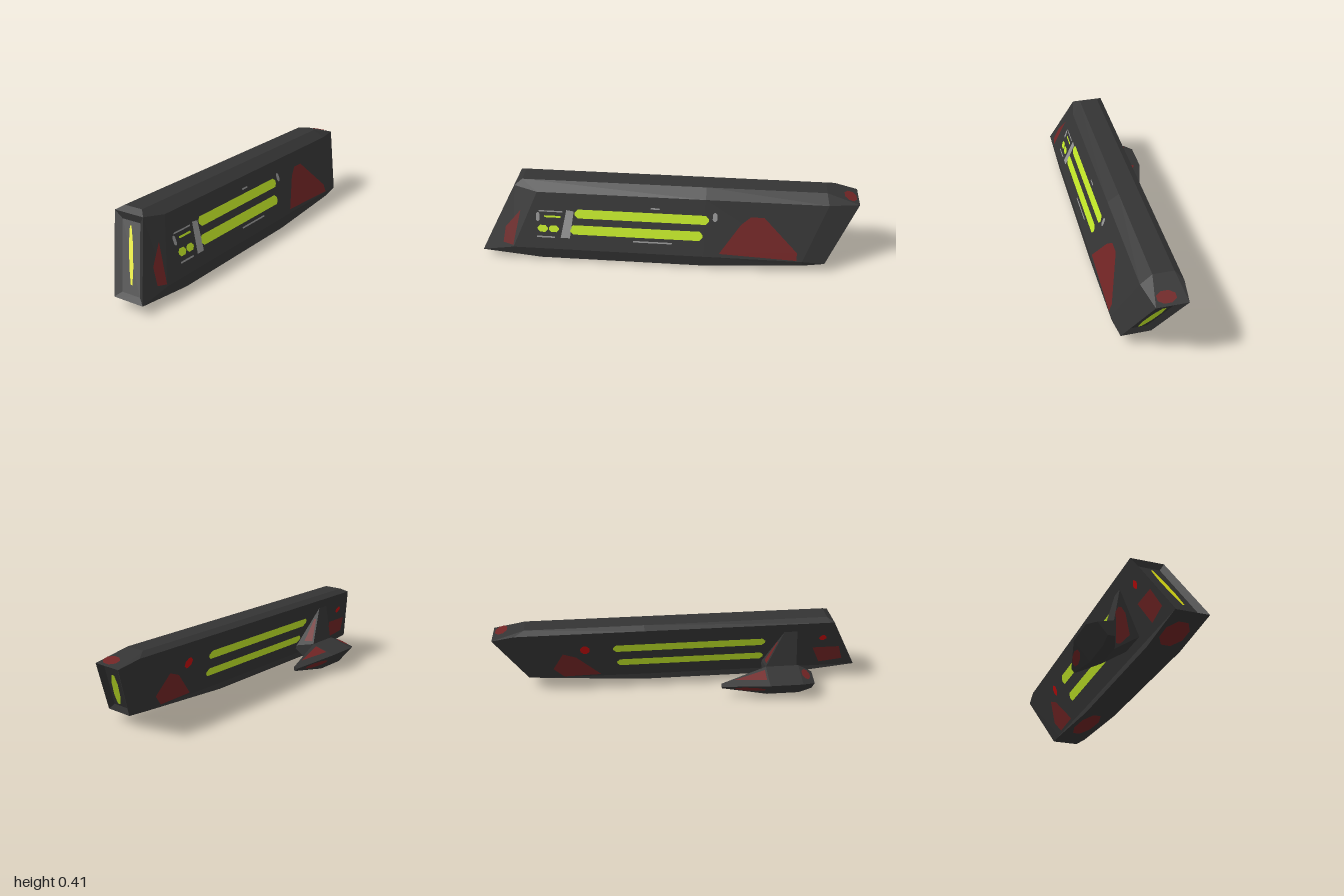
import * as THREE from 'three';

const flat = (name, color) => {
  const m = new THREE.MeshStandardMaterial({ color });
  m.name = name;
  return m;
};

// Turn a list of triangles into a named, flat-shaded mesh
function facets(name, triangles, material) {
  const g = new THREE.BufferGeometry().setFromPoints(triangles.flat());
  g.computeVertexNormals();
  const mesh = new THREE.Mesh(g, material);
  mesh.name = name;
  return mesh;
}

const vec = (x, y, z) => new THREE.Vector3(x, y, z);
const cross = (a, b, c) => b.clone().sub(a).cross(c.clone().sub(a));

// Join cross-section rings (clockwise seen from +z, ordered front to back)
function loft(name, rings, material) {
  const tris = [];
  const n = rings[0].length, first = rings[0], last = rings[rings.length - 1];
  for (let i = 0; i < rings.length - 1; i++) {
    for (let j = 0; j < n; j++) {
      const k = (j + 1) % n, r = rings[i], s = rings[i + 1];
      tris.push([r[j], r[k], s[k]], [r[j], s[k], s[j]]);
    }
  }
  for (let j = 1; j < n - 1; j++) {
    tris.push([first[0], first[j + 1], first[j]], [last[0], last[j], last[j + 1]]);
  }
  return facets(name, tris.filter((t) => cross(...t).length() > 1e-8), material);
}

// Painted patch on the plane through three points. Facing is '+x', '-y' and so on;
// outlines are (z,y) for x faces, (x,z) for y faces and (x,y) for z faces.
function paint(name, material, [p, q, r], facing, outline) {
  const normal = cross(p, q, r).normalize();
  const axis = facing[1];
  if (normal[axis] * (facing[0] === '+' ? 1 : -1) < 0) normal.negate();
  const [u, v] = { x: ['z', 'y'], y: ['x', 'z'], z: ['x', 'y'] }[axis];
  const pts = outline.map(([a, b]) => {
    const w = vec(0, 0, 0);
    w[u] = a;
    w[v] = b;
    w[axis] = p[axis] - (normal[u] * (a - p[u]) + normal[v] * (b - p[v])) / normal[axis];
    return w.addScaledVector(normal, 0.004);
  });
  const shape = outline.map(([a, b]) => new THREE.Vector2(a, b));
  const tris = THREE.ShapeUtils.triangulateShape(shape, []).map((f) => {
    const [a, b, c] = f.map((i) => pts[i]);
    return cross(a, b, c).dot(normal) > 0 ? [a, b, c] : [a, c, b];
  });
  return facets(name, tris, material);
}

// Bar outline with clipped corners
function bar(u0, u1, v, h) {
  const e = Math.min(h, u1 - u0) * 0.35, t = h / 2;
  return [[u0, v - t + e], [u0 + e, v - t], [u1 - e, v - t], [u1, v - t + e],
    [u1, v + t - e], [u1 - e, v + t], [u0 + e, v + t], [u0, v + t - e]];
}

// Faceted oval outline; its top is shifted sideways by lean
function oval(cu, cv, ru, rv, lean = 0) {
  return Array.from({ length: 8 }, (_, i) => {
    const a = (i + 0.5) * Math.PI / 4, s = Math.sin(a) * 1.08;
    return [cu + ru * 1.08 * Math.cos(a) + lean * s, cv + rv * s];
  });
}

// Inner panel of a four-cornered end: inset from the edges and sunk along depth
function recess(rim, inset, depth) {
  return rim.map((p, i) => {
    const step = (q) => q.clone().sub(p).setLength(inset);
    return p.clone().add(step(rim[(i + 1) % 4])).add(step(rim[(i + 3) % 4])).add(depth);
  });
}

export function createModel() {
  const hull = flat('hull grey', 0x343434);
  const red = flat('dull red', 0x702424);
  const bright = flat('bright red', 0xc00c0c);
  const lime = flat('lime', 0xc4ea28);
  const yellow = flat('yellow', 0xe4e614);
  const silver = flat('silver', 0x929292);
  const group = new THREE.Group();
  const mark = (...args) => group.add(paint(...args));

  // Leaning slab hull with recessed, slanted ends
  const section = [[-0.077, 0.385], [-0.045, 0.405], [0.06, 0.405], [0.12, 0.365],
    [0.23, 0.075], [0.225, 0.012], [0.056, 0.012], [0.056, 0.045]];
  const station = (zs) => section.map(([x, y], i) => vec(x, y, zs[i]));
  const endRim = (x0, x1, yTop, zTop, x2, x3, yLow, zLow) =>
    [vec(x0, yTop, zTop), vec(x1, yTop, zTop), vec(x3, yLow, zLow), vec(x2, yLow, zLow)];
  const ring8 = (corners) => corners.flatMap((p) => [p, p]);

  const frontRim = endRim(-0.077, 0.095, 0.385, 0.825, 0.056, 0.225, 0.045, 1);
  const backRim = endRim(-0.065, 0.09, 0.36, -1, 0.06, 0.21, 0.055, -0.84);
  const frontPanel = recess(frontRim, 0.032, vec(0, -0.009, -0.018));
  const backPanel = recess(backRim, 0.03, vec(0, 0.009, 0.018));
  const front = station([0.8, 0.79, 0.79, 0.7, 0.83, 0.68, 0.68, 0.8]);
  const middle = station(Array(8).fill(-0.2));
  const rear = station([-0.88, -0.83, -0.83, -0.84, -0.72, -0.72, -0.72, -0.72]);
  rear[5].y = rear[6].y = 0.047; // the keel rises towards the tail
  rear[7].y = 0.051;
  group.add(loft('hull', [ring8(frontPanel), ring8(frontRim), front, middle, rear,
    ring8(backRim), ring8(backPanel)], hull));

  // Outrigger pod: one section, shrunk towards both ends
  const podSection = [[-0.233, 0.1], [-0.09, 0.138], [-0.09, 0], [-0.15, 0]];
  const podRing = (z, s) => podSection.map(([x, y]) => vec(-0.15 + (x + 0.15) * s, 0.062 + (y - 0.062) * s, z));
  const [podNose, podFore, podAft, podTip] =
    [podRing(0.71, 0.6), podRing(0.64, 1), podRing(0.46, 1), podRing(0.21, 0.17)];
  group.add(loft('pod', [podNose, podFore, podAft, podTip], hull));

  // Pylon between pod and hull, narrower at its top
  const pylonRing = (z, zTop) => [vec(-0.09, 0.138, z), vec(-0.055, 0.33, zTop), vec(0.06, 0.098, z), vec(-0.09, 0, z)];
  const pylonFront = pylonRing(0.63, 0.63), pylonBack = pylonRing(0.46, 0.56);
  group.add(loft('pylon', [pylonFront, pylonBack], hull));

  // Light strips in the two ends, leaning with the hull
  mark('frontLight', yellow, frontPanel, '+z', oval(0.074, 0.215, 0.012, 0.115, -0.048));
  mark('backLight', lime, backPanel, '-z', oval(0.077, 0.205, 0.022, 0.098, -0.044));

  // Side markings: z start, z end, height, thickness
  const right = [front[3], front[4], rear[4]];
  const left = [front[0], middle[0], middle[7]];
  const bars = (name, material, side, facing, list) =>
    list.forEach((b) => mark(name, material, side, facing, bar(...b)));
  bars('rightLight', lime, right, '+x', [[-0.22, 0.495, 0.263, 0.046], [-0.19, 0.52, 0.18, 0.048],
    [0.64, 0.695, 0.18, 0.036], [0.58, 0.635, 0.18, 0.034], [0.57, 0.66, 0.243, 0.01]]);
  bars('rightDash', silver, right, '+x', [[-0.265, -0.24, 0.28, 0.045], [0.685, 0.705, 0.24, 0.045],
    [0.56, 0.69, 0.27, 0.007], [0.6, 0.7, 0.137, 0.008], [0.04, 0.09, 0.308, 0.008], [-0.03, 0.18, 0.135, 0.008]]);
  bars('leftLight', lime, left, '-x', [[-0.37, 0.46, 0.265, 0.05], [-0.35, 0.46, 0.155, 0.048]]);
  bars('leftDot', bright, left, '-x', [[-0.545, -0.495, 0.265, 0.06], [0.76, 0.8, 0.275, 0.04]]);
  mark('rightBracket', silver, right, '+x', [[0.57, 0.135], [0.52, 0.135], [0.5, 0.275], [0.54, 0.28]]);

  // Red patches on the hull
  mark('rightRearPatch', red, right, '+x', [[-0.28, 0.095], [-0.39, 0.25], [-0.44, 0.29],
    [-0.51, 0.29], [-0.69, 0.12], [-0.69, 0.08]]);
  mark('rightFrontPatch', red, [frontRim[1], frontRim[2], front[4]], '+x',
    [[0.83, 0.085], [0.885, 0.095], [0.872, 0.175], [0.79, 0.265]]);
  mark('leftRearPatch', red, left, '-x', [[-0.645, 0.06], [-0.7, 0.125], [-0.64, 0.24], [-0.57, 0.21], [-0.44, 0.065]]);
  mark('leftFrontPatch', red, left, '-x', [[0.79, 0.08], [0.735, 0.2], [0.885, 0.2], [0.92, 0.1]]);
  mark('tailPatch', red, [backRim[0], backRim[1], rear[1]], '+y', oval(0.03, -0.955, 0.045, 0.032));
  mark('keelPatch', red, [middle[5], middle[6], rear[6]], '-y', oval(0.13, -0.41, 0.05, 0.19));
  mark('chinPatch', red, [frontRim[2], frontRim[3], front[6]], '-y', oval(0.133, 0.82, 0.058, 0.1));

  // Red patches on the pod and pylon
  mark('podNosePatch', red, [podFore[0], podFore[1], podNose[1]], '+y', oval(-0.152, 0.668, 0.034, 0.022));
  mark('podTailPatch', red, [podAft[0], podAft[1], podTip[1]], '+y', [[-0.19, 0.45], [-0.115, 0.45], [-0.138, 0.28]]);
  mark('podInnerPatch', red, [podAft[1], podAft[2], podTip[1]], '+x', oval(0.37, 0.075, 0.075, 0.03));
  mark('podOuterPatch', red, [podAft[0], podAft[3], podTip[0]], '-x', oval(0.36, 0.062, 0.08, 0.018));
  mark('pylonFrontPatch', red, pylonFront, '+z', [[-0.08, 0.03], [-0.08, 0.2], [-0.065, 0.228], [-0.05, 0.228],
    [-0.03, 0.2], [-0.01, 0.085], [-0.06, 0.03]]);
  mark('pylonBackPatch', red, pylonBack, '-z', [[-0.078, 0.15], [-0.058, 0.27], [-0.045, 0.265], [-0.02, 0.14]]);

  return group;
}
